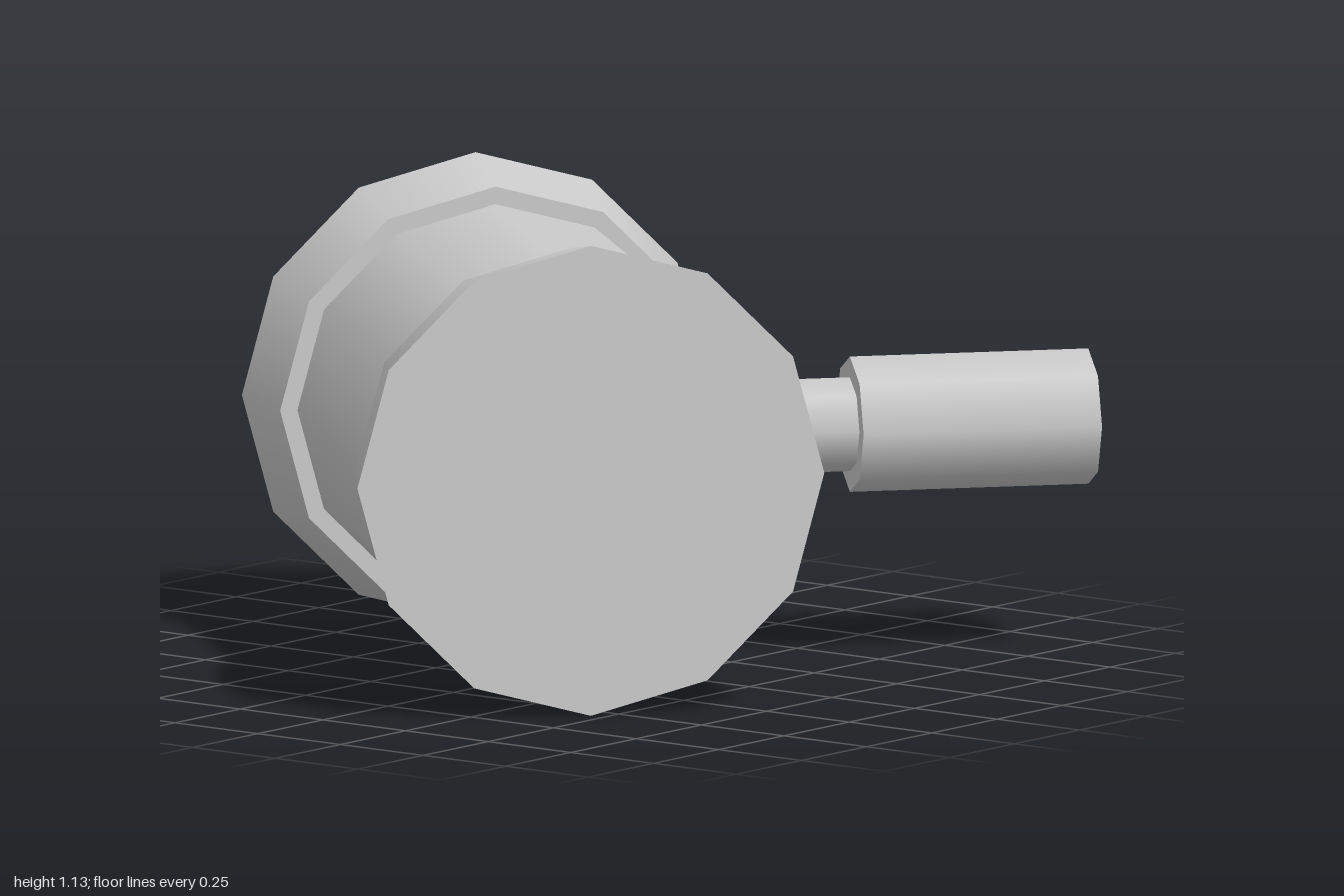
import * as THREE from 'three';

const material = new THREE.MeshStandardMaterial({ color: 0xcccccc });

// A capped, smooth-sided cylinder running along +y from `from` to `to`
function section(name, rFrom, rTo, from, to, sides) {
  const geometry = new THREE.CylinderGeometry(rTo, rFrom, to - from, sides);
  geometry.translate(0, (from + to) / 2, 0);
  const mesh = new THREE.Mesh(geometry, material);
  mesh.name = name;
  return mesh;
}

export function createModel() {
  const model = new THREE.Group();
  model.name = 'mallet';

  // Head: barrel along local x with a flared collar at each end
  const head = new THREE.Group();
  head.name = 'head';
  const barrel = section('barrel', 0.48, 0.48, -0.5, 0.5, 12);
  barrel.rotation.z = -Math.PI / 2;
  head.add(barrel);
  for (const side of [-1, 1]) {
    const collar = section(side > 0 ? 'frontCollar' : 'backCollar', 0.522, 0.566, 0.445, 0.682, 12);
    collar.rotation.z = -side * Math.PI / 2;
    head.add(collar);
  }

  // Handle: flared root, thin neck and thick grip along local -z
  const handle = new THREE.Group();
  handle.name = 'handle';
  handle.add(
    section('handleRoot', 0.144, 0.113, 0.425, 0.5, 8),
    section('neck', 0.113, 0.113, 0.45, 0.8, 8),
    section('grip', 0.163, 0.163, 0.765, 1.343, 8)
  );
  handle.rotation.x = -Math.PI / 2;
  handle.position.x = 0.014;

  model.add(head, handle);

  // The mallet lies turned on the ground
  const root = new THREE.Group();
  model.rotation.y = -0.7;
  model.position.set(-0.058, 0.568, 0.121);
  root.add(model);
  return root;
}
